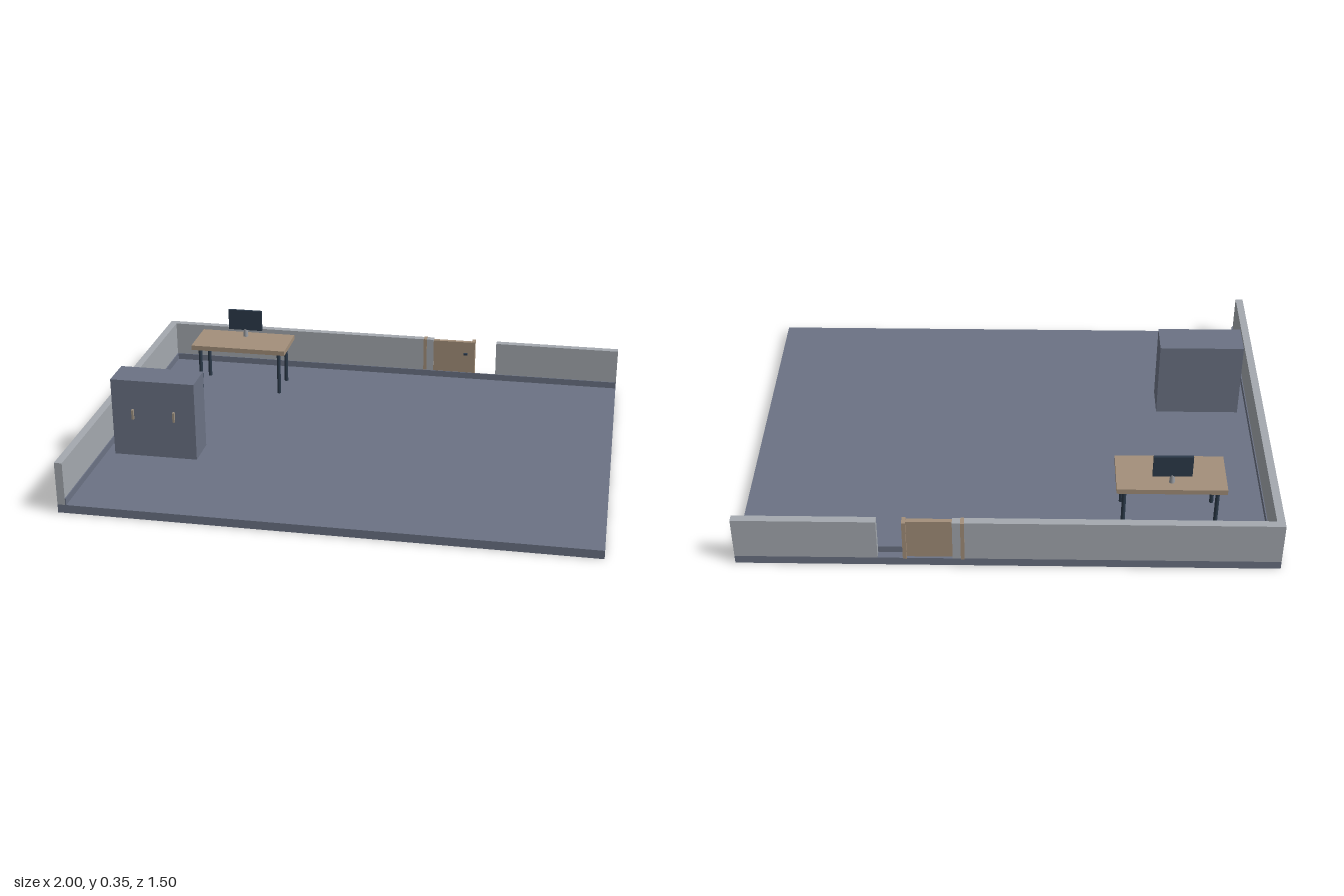
import * as THREE from 'three';

const mat = (name, color) => {
  const m = new THREE.MeshStandardMaterial({ color });
  m.name = name;
  return m;
};

export function createModel() {
  const slate = mat('slate', 0x6b7284);
  const wallGrey = mat('wallGrey', 0xa4a9af);
  const wood = mat('wood', 0xa38f7a);
  const navy = mat('navy', 0x2c3a4a);
  const metal = mat('metal', 0x9a9da2);
  const brass = mat('brass', 0x9c9080);

  const room = new THREE.Group();
  room.name = 'room';

  // Box given by its minimum and maximum on each axis
  const box = (parent, name, material, [x0, x1], [y0, y1], [z0, z1]) => {
    const mesh = new THREE.Mesh(new THREE.BoxGeometry(x1 - x0, y1 - y0, z1 - z0), material);
    mesh.position.set((x0 + x1) / 2, (y0 + y1) / 2, (z0 + z1) / 2);
    mesh.name = name;
    parent.add(mesh);
    return mesh;
  };
  const group = (name) => {
    const g = new THREE.Group();
    g.name = name;
    room.add(g);
    return g;
  };

  const F = 0.033; // floor level
  const H = 0.203; // wall top

  // Floor slab
  box(room, 'floor', slate, [-1, 1], [0, F], [-0.75, 0.75]);

  // Low walls, with a doorway in the back one
  const walls = group('walls');
  box(walls, 'sideWall', wallGrey, [-1, -0.97], [F, H], [-0.75, 0.75]);
  box(walls, 'backWallLong', wallGrey, [-0.97, 0.2], [F, H], [-0.75, -0.72]);
  box(walls, 'backWallShort', wallGrey, [0.475, 1], [F, H], [-0.75, -0.72]);

  // Skirting along the inside of the walls
  box(walls, 'backSkirting', slate, [-0.97, 1], [F, 0.06], [-0.72, -0.716]);
  box(walls, 'sideSkirting', slate, [-0.97, -0.966], [F, 0.06], [-0.716, 0.75]);

  // Door leaf with posts and a knob
  const door = group('door');
  box(door, 'doorLeaf', wood, [0.2, 0.38], [F, 0.2], [-0.741, -0.723]);
  for (const x of [0.163, 0.375]) {
    box(door, 'doorPost', wood, [x - 0.007, x + 0.007], [F, H + 0.001], [-0.755, -0.719]);
  }
  box(door, 'doorHandle', navy, [0.334, 0.35], [0.142, 0.15], [-0.723, -0.713]);

  // Desk
  const desk = group('desk');
  box(desk, 'deskTop', wood, [-0.805, -0.397], [0.215, 0.235], [-0.59, -0.39]);
  for (const x of [-0.773, -0.428]) {
    for (const z of [-0.556, -0.415]) {
      const leg = new THREE.Mesh(new THREE.CylinderGeometry(0.008, 0.008, 0.215 - F, 12), navy);
      leg.position.set(x, (F + 0.215) / 2, z);
      leg.name = 'deskLeg';
      desk.add(leg);
    }
  }

  // Screen on its stand
  const monitor = group('monitor');
  box(monitor, 'screen', navy, [-0.675, -0.529], [0.265, 0.354], [-0.548, -0.536]);
  const stand = new THREE.Mesh(new THREE.CylinderGeometry(0.008, 0.011, 0.035, 12), metal);
  stand.position.set(-0.602, 0.251, -0.542);
  stand.name = 'monitorStand';
  monitor.add(stand);

  // Cabinet with two upright handles
  const cabinet = group('cabinet');
  box(cabinet, 'cabinetBody', slate, [-0.93, -0.597], [F, 0.35], [0.155, 0.293]);
  for (const x of [-0.846, -0.681]) {
    box(cabinet, 'cabinetHandle', brass, [x - 0.004, x + 0.004], [0.19, 0.23], [0.293, 0.304]);
  }

  return room;
}
